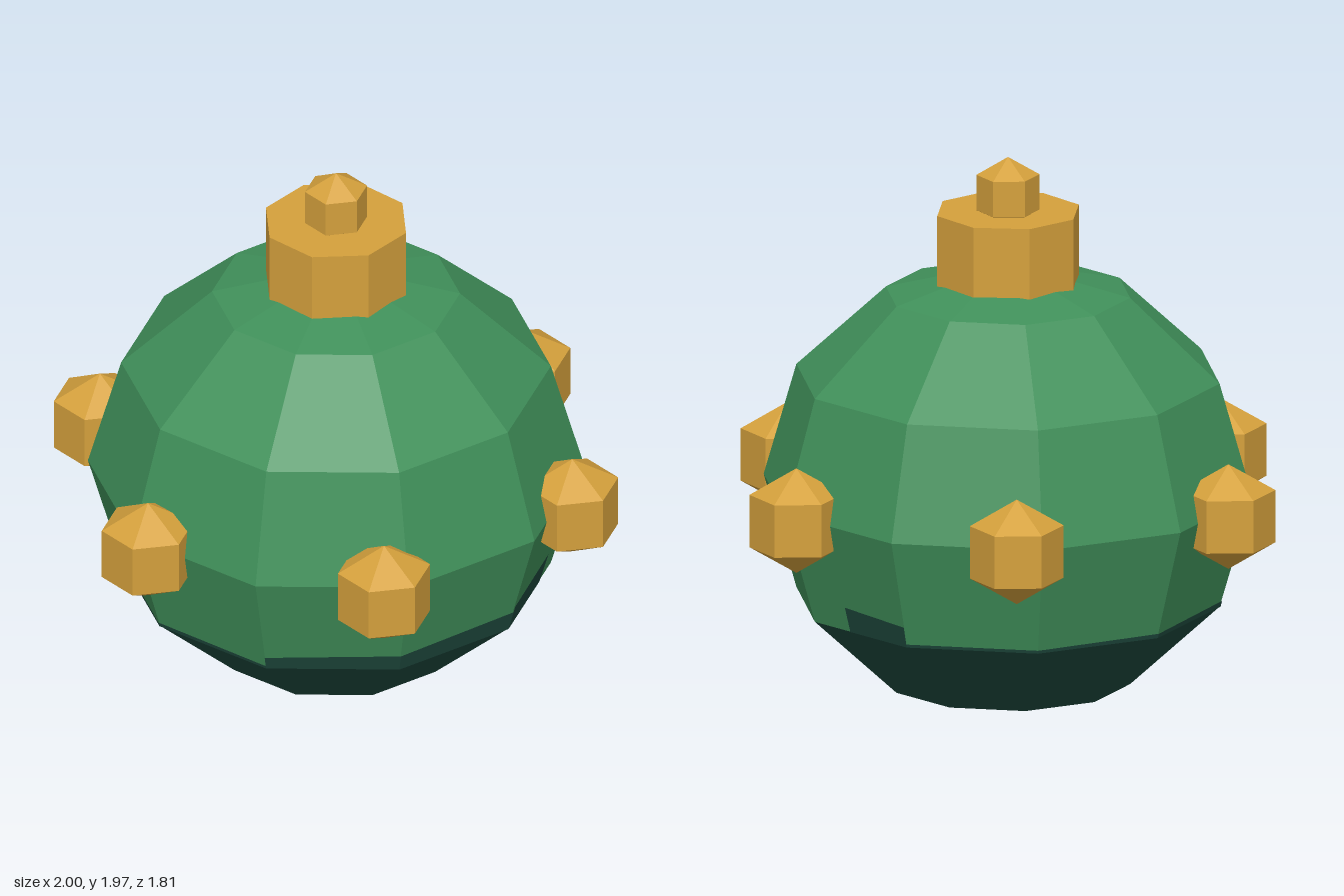
import * as THREE from 'three';

const CENTER_Y = 0.797, HALF_HEIGHT = 0.797, RADIUS = 0.855, SIDES = 10;

// Give every facet its own normal for a crisp low-poly look
function faceted(geometry) {
  const flat = geometry.index ? geometry.toNonIndexed() : geometry;
  flat.computeVertexNormals();
  return flat;
}

function part(name, geometry, material, x = 0, y = 0, z = 0) {
  const mesh = new THREE.Mesh(faceted(geometry), material);
  mesh.name = name;
  mesh.position.set(x, y, z);
  return mesh;
}

// Horizontal section of the squashed sphere, with a corner facing +z
function ballSection(rows, thetaStart, thetaLength) {
  return new THREE.SphereGeometry(RADIUS, SIDES, rows, Math.PI / 2, Math.PI * 2, thetaStart, thetaLength)
    .scale(1, HALF_HEIGHT / RADIUS, 1);
}

// Six-sided gem with pointed ends
function gemGeometry(radius) {
  return new THREE.SphereGeometry(radius, 6, 3, Math.PI / 2);
}

// Point just outside the facet row below the equator, at an angle from +z
function skinPoint(degrees, y) {
  const yLow = CENTER_Y - HALF_HEIGHT / 2;
  const ring = RADIUS * THREE.MathUtils.lerp(Math.sqrt(3) / 2, 1, (y - yLow) / (CENTER_Y - yLow));
  const step = 360 / SIDES;
  const fromMiddle = THREE.MathUtils.euclideanModulo(degrees, step) - step / 2;
  const r = 0.003 + ring * Math.cos(Math.PI / SIDES) / Math.cos(THREE.MathUtils.degToRad(fromMiddle));
  const a = THREE.MathUtils.degToRad(degrees);
  return [r * Math.sin(a), y, r * Math.cos(a)];
}

// Uneven upper edge of the dark base: [start angle, height, end angle, height]
function rimGeometry() {
  const strips = [
    [0, 0.45, 36, 0.463], [36, 0.463, 72, 0.475], [72, 0.5, 98, 0.512],
    [158, 0.49, 180, 0.475], [180, 0.41, 216, 0.41], [216, 0.41, 252, 0.415],
    [252, 0.415, 288, 0.42], [288, 0.42, 324, 0.415], [324, 0.415, 360, 0.41],
  ];
  const low = CENTER_Y - HALF_HEIGHT / 2;
  const positions = [];
  for (const [a0, y0, a1, y1] of strips) {
    const p = skinPoint(a0, low), q = skinPoint(a1, low);
    const r = skinPoint(a1, y1), s = skinPoint(a0, y0);
    positions.push(...p, ...q, ...r, ...p, ...r, ...s);
  }
  const geometry = new THREE.BufferGeometry();
  geometry.setAttribute('position', new THREE.Float32BufferAttribute(positions, 3));
  return geometry;
}

export function createModel() {
  const green = new THREE.MeshStandardMaterial({ name: 'green', color: 0x40905a });
  const darkGreen = new THREE.MeshStandardMaterial({ name: 'dark green', color: 0x1d473c });
  const gold = new THREE.MeshStandardMaterial({ name: 'gold', color: 0xd4a03c });

  const model = new THREE.Group();
  model.name = 'bauble';

  // Ball: green upper rows, dark base and its stepped rim
  const third = Math.PI / 3;
  model.add(part('ballUpper', ballSection(4, 0, 2 * third), green, 0, CENTER_Y));
  model.add(part('ballBase', ballSection(2, 2 * third, third), darkGreen, 0, CENTER_Y));
  model.add(part('baseRim', rimGeometry(), darkGreen));

  // Cap and knob on top
  model.add(part('cap', new THREE.CylinderGeometry(0.255, 0.255, 0.28, 8), gold, 0, 1.64));
  model.add(part('knob', gemGeometry(0.126), gold, 0, 1.845));

  // Ring of six gems around the equator
  const gems = new THREE.Group();
  gems.name = 'gems';
  for (let i = 0; i < 6; i++) {
    const a = i * third;
    gems.add(part('gem', gemGeometry(0.187), gold, 0.86 * Math.cos(a), CENTER_Y, 0.86 * Math.sin(a)));
  }
  model.add(gems);
  return model;
}
